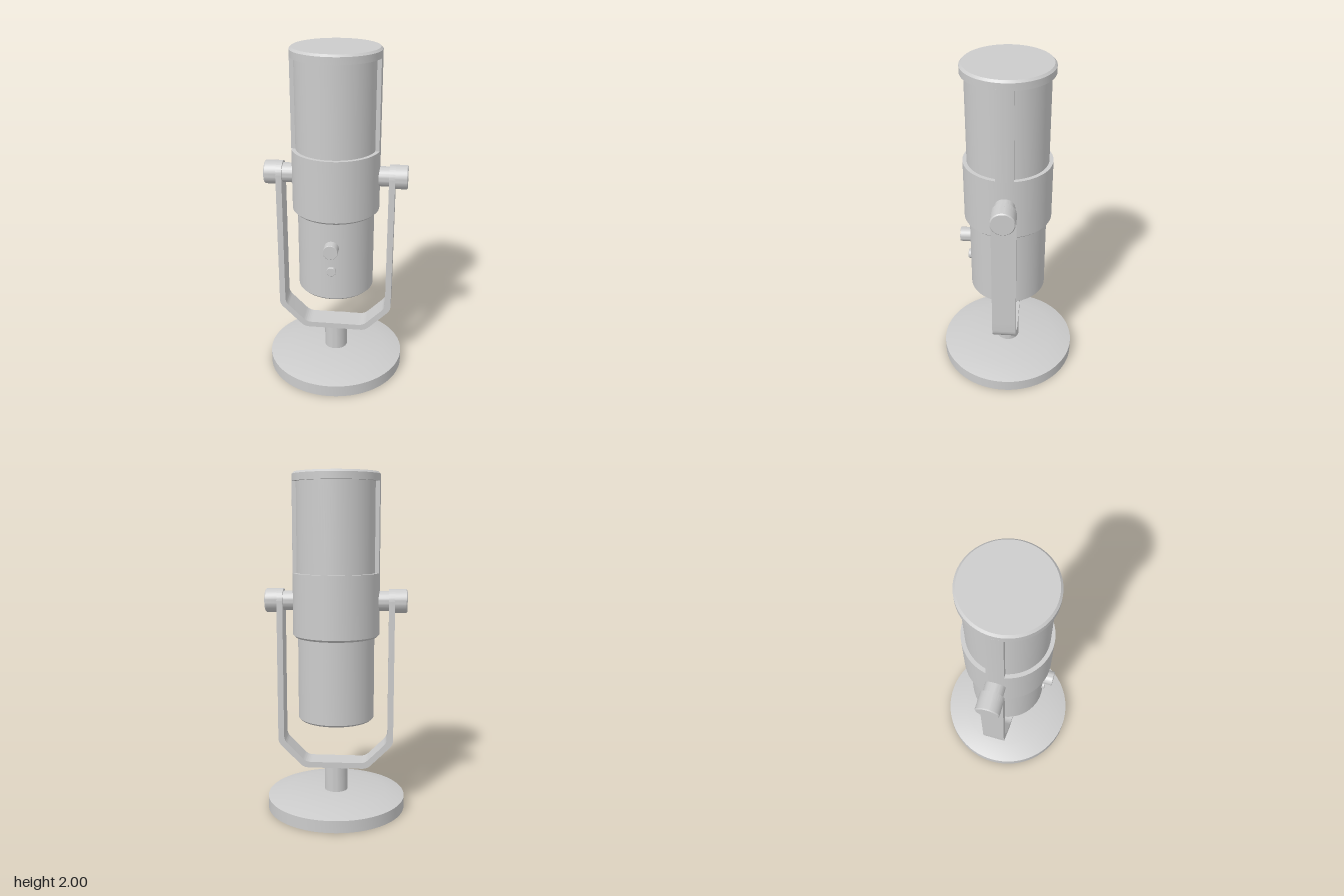
import * as THREE from 'three';
import { toCreasedNormals } from 'three/addons/utils/BufferGeometryUtils.js';

const material = new THREE.MeshStandardMaterial({ color: 0xcccccc });

function add(parent, name, geometry) {
  const mesh = new THREE.Mesh(toCreasedNormals(geometry, 0.4), material);
  mesh.name = name;
  parent.add(mesh);
  return mesh;
}

// Solid of revolution from [radius, height] pairs, listed bottom to top
function turned(profile, segments = 96) {
  return new THREE.LatheGeometry(profile.map(([r, y]) => new THREE.Vector2(r, y)), segments);
}

// Closed cylinder with chamfered rims (bottom and top chamfer sizes)
function drum(radius, y0, y1, bottom, top, segments) {
  return turned([
    [0, y0], [radius - bottom, y0], [radius, y0 + bottom],
    [radius, y1 - top], [radius - top, y1], [0, y1],
  ], segments);
}

function extrude(shape, depth) {
  return new THREE.ExtrudeGeometry(shape, { depth, bevelEnabled: false, curveSegments: 16 });
}

// Lower part of the U-shaped bracket, seen from the front
function bendShape() {
  const outer = [[0.345, 0.5], [0.345, 0.409], [0.191, 0.255]];
  const inner = [[0.31, 0.5], [0.31, 0.4235], [0.1765, 0.29]];
  const mirror = (side) => side.map(([x, y]) => [-x, y]).reverse();
  const shape = new THREE.Shape();
  const points = [...outer, ...mirror(outer), ...inner.map(([x, y]) => [-x, y]), ...inner.slice().reverse()]
    .map(([x, y]) => new THREE.Vector2(x, y));
  points.forEach((p, i) => {
    const prev = points[(i + points.length - 1) % points.length];
    const next = points[(i + 1) % points.length];
    if (p.y === 0.5) {
      if (i === 0) shape.moveTo(p.x, p.y);
      else shape.lineTo(p.x, p.y);
      return;
    }
    const a = p.clone().add(prev.clone().sub(p).setLength(0.03));
    const b = p.clone().add(next.clone().sub(p).setLength(0.03));
    shape.lineTo(a.x, a.y);
    shape.quadraticCurveTo(p.x, p.y, b.x, b.y);
  });
  return shape;
}

export function createModel() {
  const model = new THREE.Group();
  model.name = 'microphone';

  // Weighted foot and stem
  add(model, 'base', turned([[0, 0], [0.416, 0], [0.416, 0.072], [0.3, 0.102], [0, 0.102]]));
  add(model, 'stem', drum(0.07, 0.09, 0.26, 0, 0, 48));

  // Body, from bottom to top
  add(model, 'lowerBody', drum(0.226, 0.555, 1.08, 0.011, 0));
  add(model, 'sleeve', drum(0.255, 1.055, 1.43, 0.012, 0));
  add(model, 'grille', drum(0.232, 1.42, 1.96, 0, 0));
  add(model, 'cap', drum(0.255, 1.948, 2, 0, 0.012));

  // Bracket
  const yoke = new THREE.Group();
  yoke.name = 'yoke';
  model.add(yoke);
  add(yoke, 'yokeBend', extrude(bendShape(), 0.14)).position.z = -0.07;

  // Side parts, repeated left and right
  const armShape = new THREE.Shape();
  armShape.moveTo(-0.07, 0.5);
  armShape.lineTo(0.07, 0.5);
  armShape.lineTo(0.07, 1.265);
  armShape.absarc(0, 1.265, 0.07, 0, Math.PI, false);

  const angle = Math.asin(0.05 / 0.255);
  const railShape = new THREE.Shape();
  railShape.absarc(0, 0, 0.255, -angle, angle, false);
  railShape.lineTo(0.215, 0.05);
  railShape.lineTo(0.215, -0.05);

  for (const [label, turn] of [['left', 0], ['right', Math.PI]]) {
    const side = new THREE.Group();
    side.name = label + 'Side';
    side.rotation.y = turn;
    model.add(side);

    const rail = add(side, label + 'Rail', extrude(railShape, 0.53));
    rail.rotation.x = -Math.PI / 2;
    rail.position.y = 1.425;

    const arm = add(side, label + 'Arm', extrude(armShape, 0.035));
    arm.rotation.y = Math.PI / 2;
    arm.position.x = 0.31;

    const pivot = add(side, label + 'Pivot', drum(0.058, 0.22, 0.315, 0, 0, 48));
    const knob = add(side, label + 'Knob', drum(0.07, 0.34, 0.417, 0, 0.006, 48));
    for (const part of [pivot, knob]) {
      part.rotation.z = -Math.PI / 2;
      part.position.y = 1.265;
    }
  }

  // Front controls
  for (const [name, radius, y, z] of [['volumeKnob', 0.043, 0.897, 0.285], ['muteButton', 0.028, 0.75, 0.241]]) {
    const control = add(model, name, drum(radius, 0.2, z, 0, 0.002, 40));
    control.rotation.x = Math.PI / 2;
    control.position.y = y;
  }

  return model;
}
